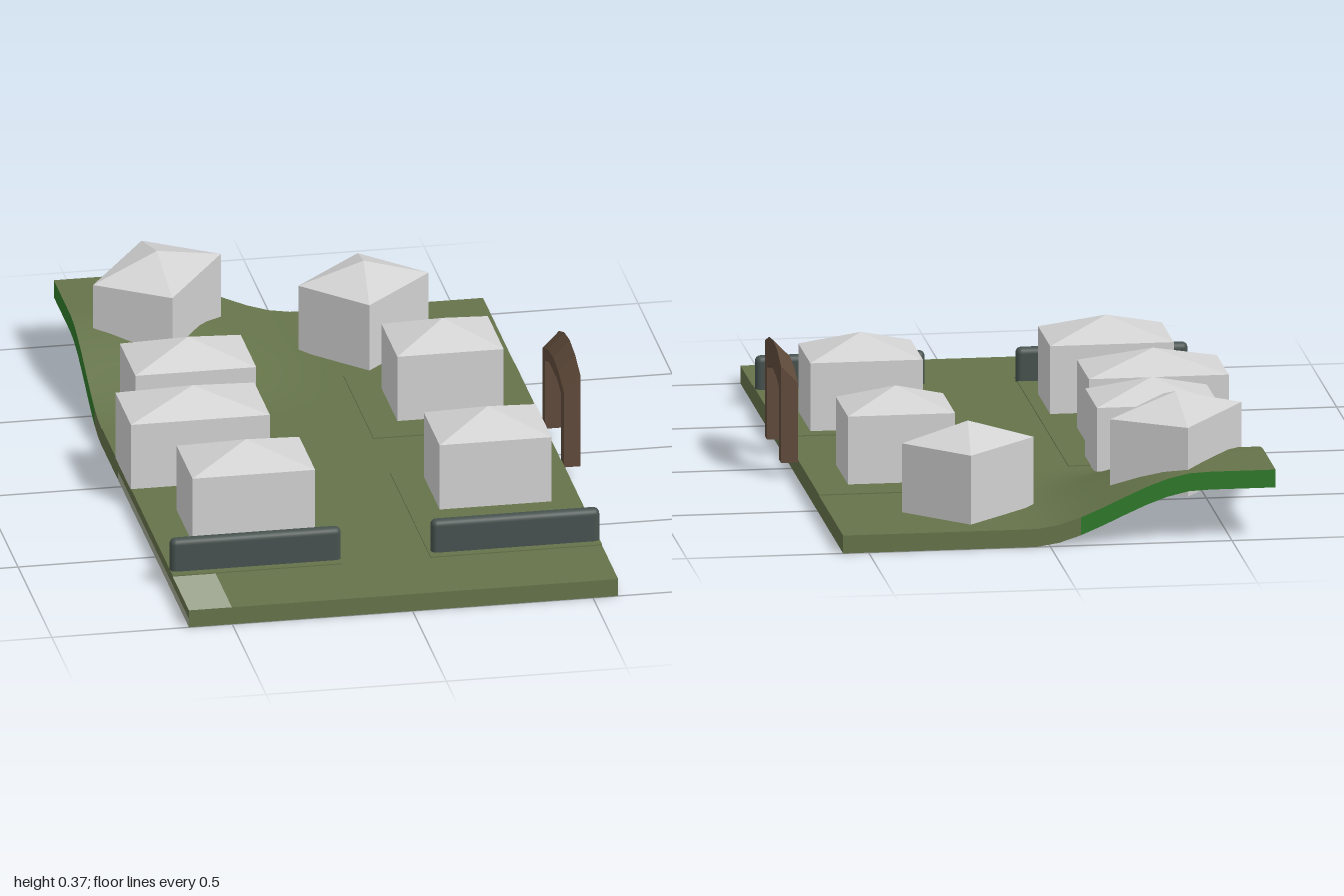
import * as THREE from 'three';
import { RoundedBoxGeometry } from 'three/addons/geometries/RoundedBoxGeometry.js';

const mat = (name, color, side = THREE.FrontSide) => {
  const m = new THREE.MeshStandardMaterial({ color, side });
  m.name = name;
  return m;
};

const X0 = -0.62, X1 = 0.57, TOP = 0.05;
const CX = (X0 + X1) / 2;

// Height of the hill in the back left corner
const lift = (x, z) =>
  0.145 * THREE.MathUtils.smoothstep(-x, -0.05, 0.42) * THREE.MathUtils.smoothstep(-z, 0.3, 0.76);

export function createModel() {
  const model = new THREE.Group();
  const grass = mat('grass', 0x65734a);
  const hillEdge = mat('hill edge green', 0x2f7a2a);
  const pavement = mat('pavement', 0xa0a892);
  const house = mat('house grey', 0xd2d2d2);
  const hedge = mat('hedge slate', 0x47524f);
  const timber = mat('arch brown', 0x5f4a3a);

  const add = (parent, name, geometry, material) => {
    const mesh = new THREE.Mesh(geometry, material);
    mesh.name = name;
    parent.add(mesh);
    return mesh;
  };

  // Ground slab, bent up into the hill
  const ground = new THREE.BoxGeometry(X1 - X0, TOP, 2, 20, 2, 40);
  ground.translate(CX, TOP / 2, 0);
  const flat = ground.attributes.position.clone();
  const pos = ground.attributes.position;
  for (let i = 0; i < pos.count; i++) {
    pos.setY(i, pos.getY(i) + lift(pos.getX(i), pos.getZ(i)));
  }
  ground.computeVertexNormals();

  // Choose the colour of each ground face: grass, hill edge or pavement
  const index = ground.index;
  const sides = ground.groups.map((g) => g.start);
  ground.clearGroups();
  let run = { start: 0, kind: -1 };
  for (let i = 0; i <= index.count; i += 6) {
    let kind = -2;
    if (i < index.count) {
      const side = sides.filter((s) => s <= i).length - 1;
      const a = index.getX(i), b = index.getX(i + 4);
      const x = (flat.getX(a) + flat.getX(b)) / 2;
      const y = (flat.getY(a) + flat.getY(b)) / 2;
      const z = (flat.getZ(a) + flat.getZ(b)) / 2;
      kind = 0;
      if ((side === 1 || side === 5) && lift(x, z) > 0.02) kind = 1;
      if (side === 2 && x < -0.5 && z > 0.75) kind = 2;
      if (side === 3 && x < -0.5 && z > -0.05) kind = 2;
      if (side === 1 && y < TOP / 2 && z > -0.05) kind = 2;
    }
    if (kind !== run.kind) {
      if (run.kind >= 0) ground.addGroup(run.start, i - run.start, run.kind);
      run = { start: i, kind };
    }
  }
  add(model, 'ground', ground, [grass, hillEdge, pavement]);

  // Slightly raised lawns beside the lane
  const lawns = [
    [X0, -0.15, -0.29, 0.76],
    [0.095, X1, 0.16, 0.76],
    [0.095, X1, -0.53, -0.085],
  ];
  for (const [x0, x1, z0, z1] of lawns) {
    add(model, 'lawn', new THREE.BoxGeometry(x1 - x0, 0.003, z1 - z0), grass)
      .position.set((x0 + x1) / 2, TOP + 0.0015, (z0 + z1) / 2);
  }

  // Houses: a box with a pyramid roof [x, z, width, depth, turn, base]
  const houses = [
    [-0.378, -0.305, 0.335, 0.23, 0, TOP],
    [-0.428, 0.03, 0.385, 0.23, 0, TOP],
    [-0.355, 0.428, 0.34, 0.235, 0, TOP],
    [0.328, -0.307, 0.295, 0.235, 0, TOP],
    [0.335, 0.322, 0.31, 0.235, 0, TOP],
    [0.19, -0.74, 0.237, 0.28, -0.8, TOP],
    [-0.38, -0.755, 0.235, 0.337, -0.588, 0.117],
  ];
  const wallHeight = 0.193, roofHeight = 0.055;
  for (const [x, z, w, d, turn, base] of houses) {
    const g = new THREE.Group();
    g.name = 'house';
    g.position.set(x, base, z);
    g.rotation.y = turn;
    add(g, 'walls', new THREE.BoxGeometry(w, wallHeight, d), house).position.y = wallHeight / 2;
    const roof = new THREE.ConeGeometry(Math.SQRT1_2, roofHeight, 4, 1, true)
      .rotateY(Math.PI / 4).scale(w, 1, d).toNonIndexed();
    roof.computeVertexNormals();
    add(g, 'roof', roof, house).position.y = wallHeight + roofHeight / 2;
    model.add(g);
  }

  // Rounded hedges either side of the front entrance
  for (const [x0, x1] of [[X0, -0.147], [0.103, X1]]) {
    add(model, 'hedge', new RoundedBoxGeometry(x1 - x0, 0.115, 0.036, 3, 0.016), hedge)
      .position.set((x0 + x1) / 2, 0.0875, 0.717);
  }

  // Gateway arch on the right edge, its top sloping inwards
  const half = 0.157, open = 0.118, foot = 0.045;
  const s = new THREE.Shape();
  s.moveTo(-half, foot);
  s.lineTo(-open, foot);
  s.lineTo(-open, 0.247);
  s.quadraticCurveTo(0, 0.297, open, 0.247);
  s.lineTo(open, foot);
  s.lineTo(half, foot);
  s.lineTo(half, 0.315);
  s.quadraticCurveTo(0, 0.39, -half, 0.315);
  s.closePath();
  const arch = new THREE.ExtrudeGeometry(s, { depth: 0.046, bevelEnabled: false, curveSegments: 4 });
  const p = arch.attributes.position;
  for (let i = 0; i < p.count; i++) {
    if (p.getZ(i) < 0.01 && p.getY(i) > 0.28) p.setY(i, p.getY(i) - 0.047);
  }
  arch.computeVertexNormals();
  arch.rotateY(Math.PI / 2);
  add(model, 'gatewayArch', arch, timber).position.set(X1, 0, 0.037);

  return model;
}
